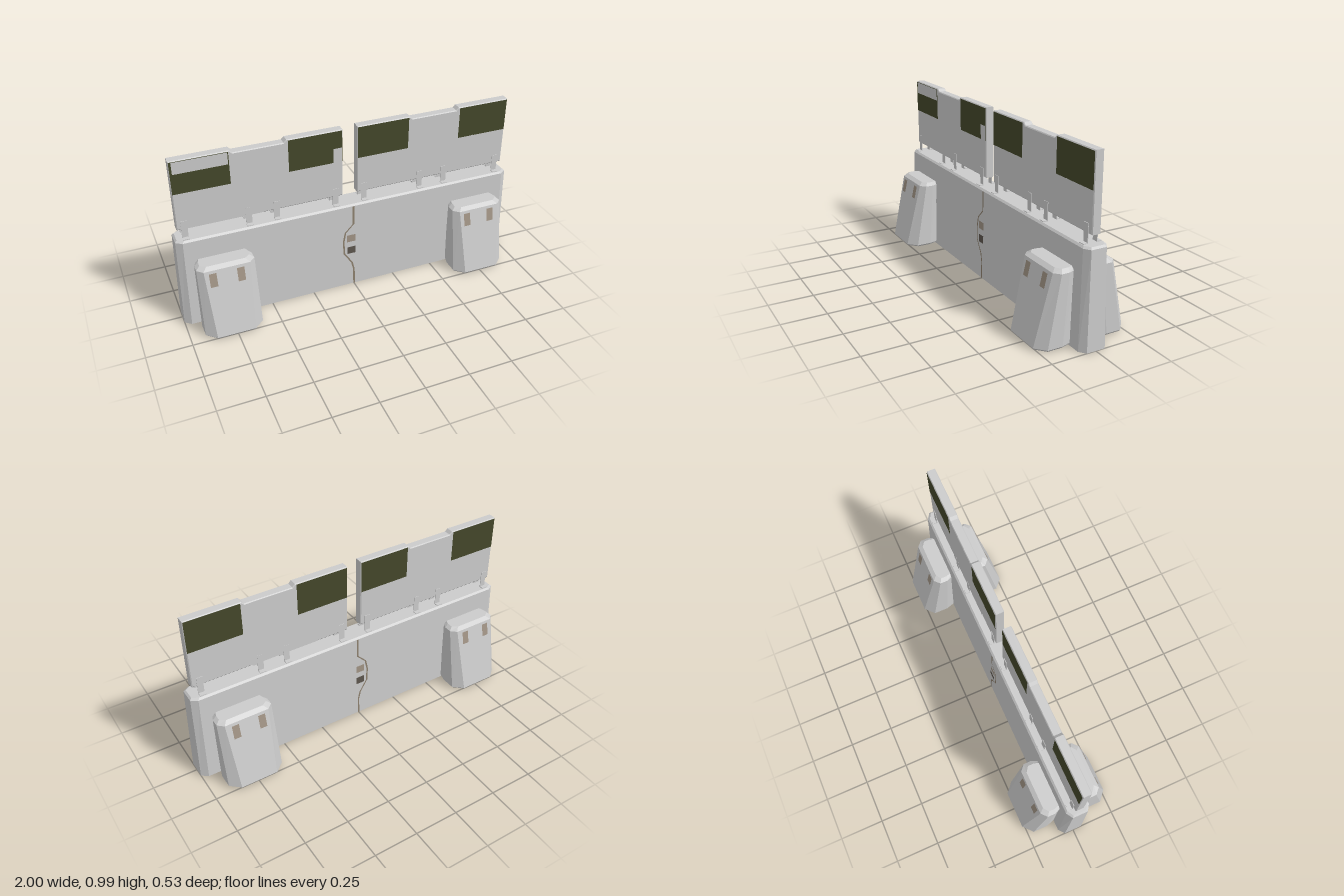
import * as THREE from 'three';

const GREY = 0xcccccc, GREEN = 0x44472a, TAN = 0xa09384, BROWN = 0x5c554d, SEAM = 0x8d806e;

function mesh(name, geometry, color = GREY, side = THREE.FrontSide) {
  const m = new THREE.Mesh(geometry, new THREE.MeshStandardMaterial({ color, side }));
  m.name = name;
  return m;
}

// Faceted solid through stacked outlines: [{ y, pts: [[x, z], ...] }], counter-clockwise from above
function loft(rings) {
  const n = rings[0].pts.length, pos = [], idx = [];
  for (const r of rings) for (const [x, z] of r.pts) pos.push(x, r.y, z);
  for (let k = 0; k < rings.length - 1; k++) {
    for (let i = 0; i < n; i++) {
      const a = k * n + i, b = k * n + (i + 1) % n;
      idx.push(a, b, b + n, a, b + n, a + n);
    }
  }
  const top = (rings.length - 1) * n;
  for (let i = 1; i < n - 1; i++) {
    idx.push(top, top + i, top + i + 1);
    idx.push(0, i + 1, i);
  }
  const g = new THREE.BufferGeometry();
  g.setAttribute('position', new THREE.Float32BufferAttribute(pos, 3));
  g.setIndex(idx);
  const flat = g.toNonIndexed();
  flat.computeVertexNormals();
  return flat;
}

// Thin patch lying on the front (s = 1) or back (s = -1); zAt gives its depth at each height
function patch(name, pts, zAt, s, color) {
  const shape = new THREE.Shape(pts.map(([x, y]) => new THREE.Vector2(x * s, y)));
  const g = new THREE.ShapeGeometry(shape);
  const p = g.attributes.position;
  for (let i = 0; i < p.count; i++) p.setZ(i, zAt(p.getY(i)));
  if (s < 0) g.rotateY(Math.PI);
  g.computeVertexNormals();
  return mesh(name, g, color);
}

const rect = (x0, x1, y0, y1) => [[x0, y0], [x1, y0], [x1, y1], [x0, y1]];

// Long base wall with chamfered ends, leaning slightly inwards
function wall() {
  const ring = (y, x, z) => {
    const e = x - 0.035, c = z * 0.65;
    return { y, pts: [[-x, -c], [-x, c], [-e, z], [e, z], [x, c], [x, -c], [e, -z], [-e, -z]] };
  };
  return mesh('baseWall', loft([
    ring(0, 1, 0.08), ring(0.525, 0.99, 0.066), ring(0.535, 0.98, 0.056),
  ]));
}
const wallZ = y => 0.082 - 0.014 * y / 0.525;

// Wall seam, with two small plates beside it
function seam(group, s) {
  const path = [[0, 0.525], [0, 0.41], [-0.05, 0.36], [-0.062, 0.3], [-0.058, 0.22], [-0.012, 0.15], [0, 0.1], [0, 0]];
  const left = path.map(([x, y]) => [x - 0.005, y]);
  const right = path.map(([x, y]) => [x + 0.005, y]).reverse();
  group.add(patch('seam', [...left, ...right], wallZ, s, SEAM));
  group.add(patch('upperPlate', rect(-0.04, 0.012, 0.295, 0.34), wallZ, s, TAN));
  group.add(patch('lowerPlate', rect(-0.04, 0.012, 0.215, 0.26), wallZ, s, BROWN));
}

// Sloping foot with a bevelled cap and two markers
function buttress(x, s) {
  const g = new THREE.Group();
  g.name = 'buttress';
  const ring = (y, half) => ({
    y, pts: [...half.map(([u, z]) => [-u, z]), ...half.slice().reverse()],
  });
  const body = mesh('buttressBody', loft([
    ring(0.005, [[0.13, 0.05], [0.152, 0.13], [0.152, 0.21], [0.1, 0.257]]),
    ring(0.015, [[0.135, 0.05], [0.16, 0.13], [0.16, 0.215], [0.105, 0.264]]),
    ring(0.395, [[0.135, 0.05], [0.157, 0.1], [0.157, 0.145], [0.125, 0.175]]),
    ring(0.412, [[0.12, 0.05], [0.135, 0.095], [0.135, 0.13], [0.105, 0.152]]),
  ]));
  if (s < 0) body.rotation.y = Math.PI;
  g.add(body);
  const slope = y => 0.2665 - (y - 0.015) * 0.089 / 0.38;
  for (const u of [-0.08, 0.07]) {
    g.add(patch('marker', rect(u - 0.02, u + 0.02, 0.305, 0.38), slope, s, TAN));
  }
  g.position.x = x;
  return g;
}

// Upper board with a shallow notch in its top edge
function board(x0, x1) {
  const b = 0.005, n0 = x0 + 0.31, n1 = x1 - 0.31;
  const shape = new THREE.Shape([
    [x0 + b, 0.585 + b], [x1 - b, 0.585 + b], [x1 - b, 0.99 - b], [n1, 0.99 - b],
    [n1 - 0.015, 0.975 - b], [n0 + 0.015, 0.975 - b], [n0, 0.99 - b], [x0 + b, 0.99 - b],
  ].map(p => new THREE.Vector2(...p)));
  const g = new THREE.ExtrudeGeometry(shape, {
    depth: 0.042, bevelEnabled: true, bevelSize: b, bevelThickness: 0.004, bevelSegments: 1,
  });
  g.translate(0, 0, -0.021);
  return mesh('upperBoard', g);
}

// L-shaped clip holding a board to the wall
function clip(x, s) {
  const g = new THREE.Group();
  g.name = 'clip';
  const plate = mesh('clipPlate', new THREE.BoxGeometry(0.034, 0.1, 0.003));
  plate.position.set(x, 0.586, s * 0.027);
  const foot = mesh('clipFoot', new THREE.BoxGeometry(0.034, 0.004, 0.026));
  foot.position.set(x, 0.537, s * 0.039);
  g.add(plate, foot);
  return g;
}

export function createModel() {
  const model = new THREE.Group();
  model.name = 'barricade';
  model.add(wall());

  const boards = [[-0.97, -0.045], [0.04, 0.965]];
  for (const [x0, x1] of boards) model.add(board(x0, x1));

  for (const s of [1, -1]) {
    seam(model, s);
    for (const x of [-0.76, 0.75]) model.add(buttress(x, s));
    // Clips and green corner patches on each board
    for (const [x0, x1] of boards) {
      for (const d of [0.04, 0.385, 0.54, 0.88]) model.add(clip(x0 + d, s));
      for (const a of [x0 + 0.003, x1 - 0.305]) {
        model.add(patch('greenPatch', rect(a, a + 0.302, 0.8, 0.985), () => 0.0262, s, GREEN));
      }
    }
  }

  // Grey repair plates: side, outline
  const plates = [
    [1, rect(-0.955, -0.67, 0.915, 0.983)],
    [1, rect(-0.92, -0.5, 0.588, 0.705)],
    [1, rect(-0.1, -0.05, 0.7, 0.885)],
    [1, rect(0.365, 0.64, 0.895, 0.968)],
    [1, [[0.615, 0.755], [0.7, 0.588], [0.842, 0.6], [0.755, 0.805]]],
    [-1, rect(0.23, 0.63, 0.588, 0.695)],
    [-1, [[0.19, 0.71], [0.165, 0.6], [0.09, 0.61], [0.125, 0.72]]],
    [-1, [[-0.36, 0.89], [-0.395, 0.785], [-0.47, 0.795], [-0.435, 0.9]]],
  ];
  for (const [s, pts] of plates) model.add(patch('repairPlate', pts, () => 0.0275, s, GREY));

  return model;
}
